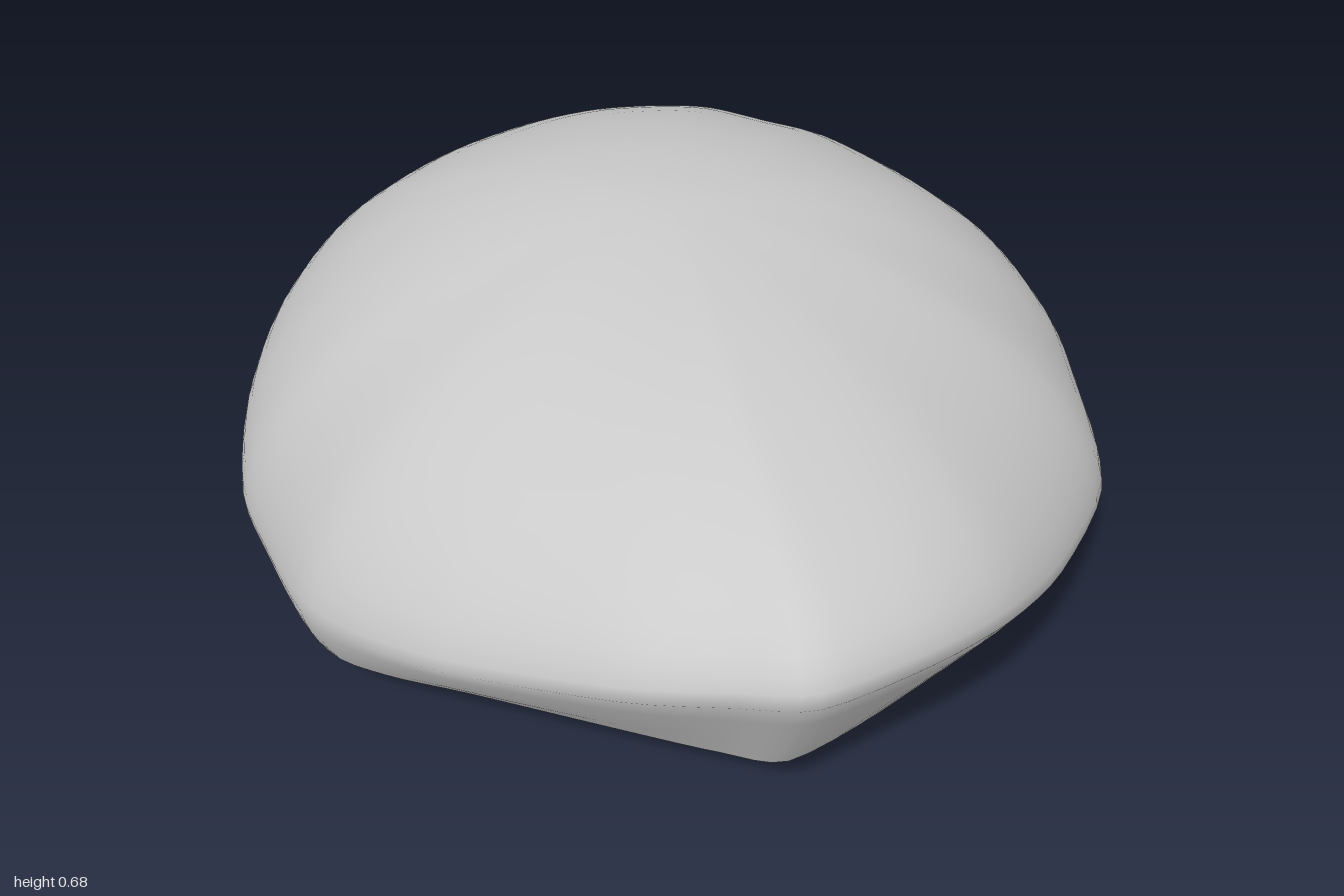
import * as THREE from 'three';

// Stations around the shell: outline x, z, outline height, rim inset, rim height
const STATIONS = [
  [0, 1, 0.42, 0.85, 0.15], [0.2, 0.93, 0.40, 0.85, 0.16], [0.36, 0.83, 0.36, 0.87, 0.18],
  [0.52, 0.67, 0.29, 0.91, 0.18], [0.71, 0.41, 0.22, 0.95, 0.11], [0.78, 0.15, 0.19, 0.96, 0.11],
  [0.81, -0.03, 0.18, 0.97, 0.10], [0.8, -0.25, 0.17, 0.97, 0.04], [0.73, -0.48, 0.14, 0.97, 0.06],
  [0.62, -0.69, 0.12, 0.96, 0.015], [0.5, -0.79, 0.12, 0.96, 0.03], [0.35, -0.92, 0.11, 0.96, 0.035],
  [0.2, -0.97, 0.11, 0.96, 0.03], [0, -1, 0.10, 0.96, 0], [-0.2, -0.96, 0.11, 0.96, 0.03],
  [-0.43, -0.86, 0.11, 0.96, 0.04], [-0.62, -0.7, 0.11, 0.96, 0.01], [-0.73, -0.48, 0.13, 0.97, 0.05],
  [-0.79, -0.25, 0.14, 0.97, 0.04], [-0.81, -0.03, 0.14, 0.98, 0.07], [-0.78, 0.15, 0.16, 0.97, 0.08],
  [-0.73, 0.38, 0.2, 0.95, 0.08], [-0.65, 0.52, 0.24, 0.93, 0.12], [-0.52, 0.67, 0.29, 0.91, 0.17],
  [-0.28, 0.87, 0.37, 0.86, 0.17], [-0.12, 0.95, 0.4, 0.85, 0.15],
];
const TOP = 0.68, AROUND = 104, DOME_ROWS = 18, RIM_ROWS = 4;

const loop = (points) => new THREE.CatmullRomCurve3(points, true, 'catmullrom', 0.4);

function shellGeometry() {
  const outline = loop(STATIONS.map(([x, z, y]) => new THREE.Vector3(x, y, z)));
  const rim = loop(STATIONS.map(([x, z, , k, y]) => new THREE.Vector3(x * k, y, z * k)));
  const rows = DOME_ROWS + RIM_ROWS;
  const pos = [0, TOP, 0], index = [];

  for (let r = 1; r <= rows; r++) {
    for (let i = 0; i < AROUND; i++) {
      const o = outline.getPoint(i / AROUND);
      if (r <= DOME_ROWS) {
        // Dome: falls from the crown to the outline, fuller towards the pointed front
        const t = Math.sin((r / DOME_ROWS) * Math.PI / 2);
        const front = Math.max(0, o.z) ** 3;
        const power = 0.62 - 0.17 * front;
        const y = o.y + (TOP - o.y) * Math.max(0, 1 - t * t) ** power;
        pos.push(o.x * t, y, o.z * t);
      } else {
        // Skirt: turns under from the outline to the ragged rim
        const s = (r - DOME_ROWS) / RIM_ROWS;
        const p = rim.getPoint(i / AROUND);
        const inset = THREE.MathUtils.lerp(s * s, s, THREE.MathUtils.clamp(o.z, 0, 1));
        pos.push(
          THREE.MathUtils.lerp(o.x, p.x, inset),
          Math.max(0, THREE.MathUtils.lerp(o.y, p.y, s)),
          THREE.MathUtils.lerp(o.z, p.z, inset));
      }
    }
  }

  // Crown fan, then bands of quads
  const at = (r, i) => 1 + (r - 1) * AROUND + (i % AROUND);
  for (let i = 0; i < AROUND; i++) {
    index.push(0, at(1, i), at(1, i + 1));
    for (let r = 1; r < rows; r++) {
      const a = at(r, i), b = at(r, i + 1), c = at(r + 1, i), d = at(r + 1, i + 1);
      index.push(a, c, b, b, c, d);
    }
  }

  const geometry = new THREE.BufferGeometry();
  geometry.setAttribute('position', new THREE.Float32BufferAttribute(pos, 3));
  geometry.setIndex(index);
  geometry.computeVertexNormals();
  return geometry;
}

export function createModel() {
  const group = new THREE.Group();
  group.name = 'openShell';
  const material = new THREE.MeshStandardMaterial({ color: 0xcccccc, side: THREE.DoubleSide });
  const shell = new THREE.Mesh(shellGeometry(), material);
  shell.name = 'shell';
  group.add(shell);
  return group;
}
